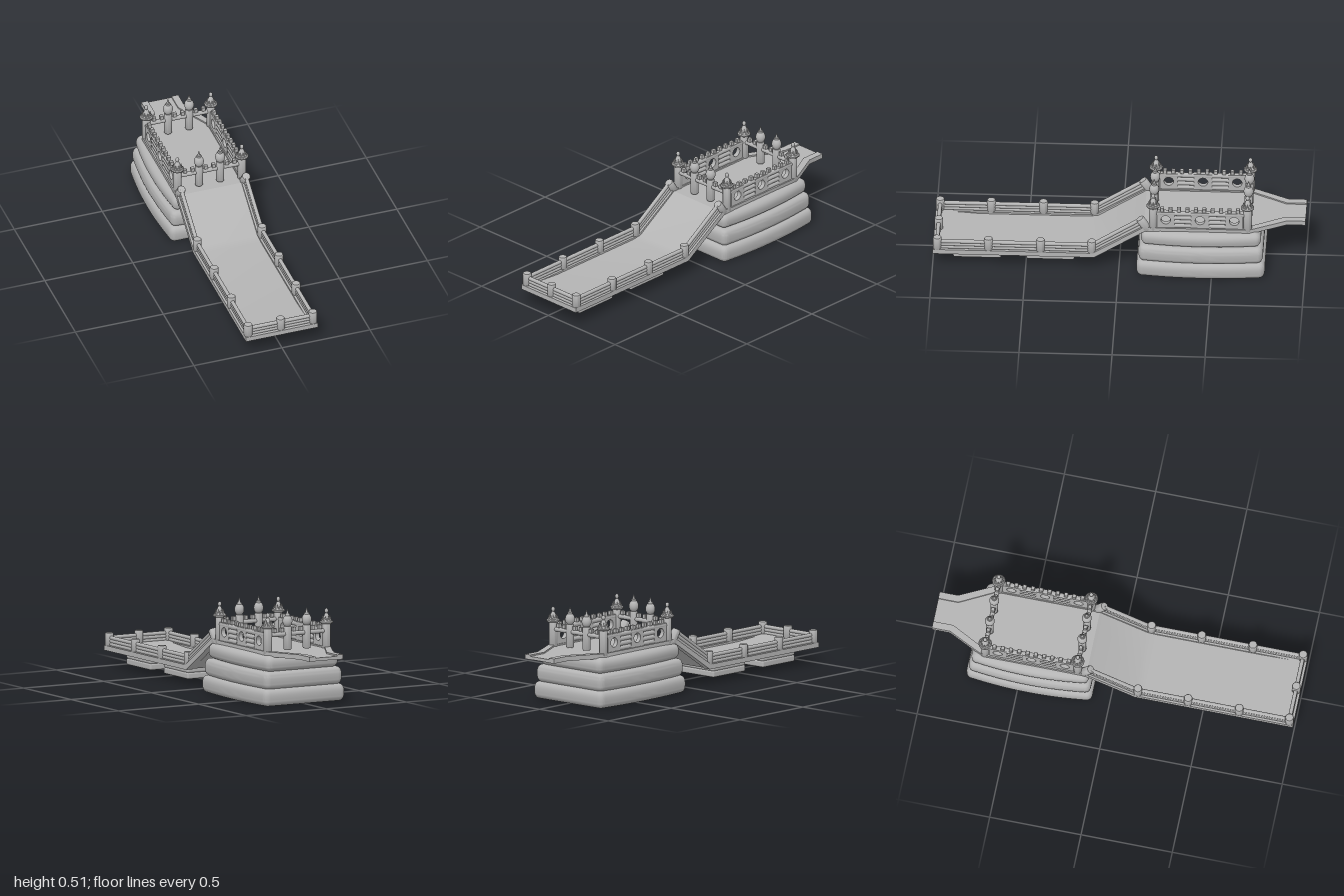
import * as THREE from 'three';
import { toCreasedNormals } from 'three/addons/utils/BufferGeometryUtils.js';
import { RoundedBoxGeometry } from 'three/addons/geometries/RoundedBoxGeometry.js';

const vinyl = new THREE.MeshStandardMaterial({ color: 0xb4b4b4 });
vinyl.name = 'grey vinyl';

const V = (x, y, z) => new THREE.Vector3(x, y, z);

function add(parent, name, geometry, x = 0, y = 0, z = 0) {
  const mesh = new THREE.Mesh(geometry, vinyl);
  mesh.name = name;
  mesh.position.set(x, y, z);
  parent.add(mesh);
  return mesh;
}

const poly = pts => new THREE.Shape(pts.map(p => new THREE.Vector2(...p)));

const lathe = (pts, segments = 20) => toCreasedNormals(
  new THREE.LatheGeometry(pts.map(p => new THREE.Vector2(...p)), segments), 0.7);

// Plan outline (x, -z) extruded upwards
function plan(shape, depth, options = {}) {
  const g = new THREE.ExtrudeGeometry(shape, { depth, bevelEnabled: false, ...options });
  return toCreasedNormals(g.rotateX(-Math.PI / 2), 0.6);
}

// Side outline (z, y) extruded across x and centred
function profile(shape, width) {
  const g = new THREE.ExtrudeGeometry(shape, { depth: width, bevelEnabled: false, curveSegments: 20 });
  return toCreasedNormals(g.rotateY(-Math.PI / 2).translate(width / 2, 0, 0), 0.5);
}

// Round tube between two points
function bar(parent, name, a, b, r) {
  const mid = a.clone().add(b).multiplyScalar(0.5);
  const mesh = add(parent, name, new THREE.CylinderGeometry(r, r, a.distanceTo(b), 14), mid.x, mid.y, mid.z);
  mesh.quaternion.setFromUnitVectors(V(0, 1, 0), b.clone().sub(a).normalize());
  return mesh;
}

// Inflated post with softened ends, standing on its origin
const post = (r, h) => lathe([[0, 0], [r * 0.88, 0], [r, 0.005], [r, h - 0.006], [r * 0.88, h - 0.001], [0, h]]);

// Stacked, bulging base cushions
function buildBase(root) {
  const tiers = [
    // x at ends, x bulge, front, back, y, height, bevel size
    [0.252, 0.290, 0.096, 0.786, 0, 0.092, 0.026],
    [0.242, 0.280, 0.107, 0.776, 0.090, 0.094, 0.026],
    [0.226, 0.264, 0.120, 0.764, 0.181, 0.088, 0.04],
  ];
  tiers.forEach(([w, bulge, f, b, y, h, s], i) => {
    const c = 0.04, m = (f + b) / 2, shape = new THREE.Shape();
    shape.moveTo(-w + c, f).lineTo(w - c, f);
    shape.quadraticCurveTo(w, f, w, f + c);
    shape.quadraticCurveTo(bulge, m, w, b - c);
    shape.quadraticCurveTo(w, b, w - c, b);
    shape.lineTo(-w + c, b);
    shape.quadraticCurveTo(-w, b, -w, b - c);
    shape.quadraticCurveTo(-bulge, m, -w, f + c);
    shape.quadraticCurveTo(-w, f, -w + c, f);
    const t = 0.036;
    add(root, 'baseCushion' + (i + 1), plan(shape, h - 2 * t, {
      bevelEnabled: true, bevelThickness: t, bevelSize: s, bevelOffset: -s, bevelSegments: 6, curveSegments: 10,
    }), 0, y + t, 0);
  });
}

// Platform floor with tapering rear tongue and raised edges
function buildDeck(root) {
  add(root, 'deckFloor', plan(poly([[-0.2, 0.14], [0.2, 0.14], [0.2, 0.70], [0.103, 0.9], [0.103, 1],
    [-0.103, 1], [-0.103, 0.9], [-0.2, 0.70]]), 0.017), 0, 0.263, 0);
  for (const s of [1, -1]) {
    const pts = [[0.204, 0.14], [0.204, 0.70], [0.105, 0.9], [0.105, 1], [0.067, 1], [0.067, 0.89], [0.166, 0.70], [0.166, 0.14]];
    add(root, 'deckEdge', plan(poly(pts.map(([x, z]) => [s * x, z])), 0.026), 0, 0.262, 0);
  }
}

// Corner tower with collar, crown of points and finial
function buildTower(root, x, z) {
  const tower = new THREE.Group();
  tower.name = 'cornerTower';
  tower.position.set(x, 0, z);
  root.add(tower);
  add(tower, 'towerShaft', post(0.023, 0.15), 0, 0.27, 0);
  add(tower, 'towerCollar', lathe([[0, 0.412], [0.03, 0.412], [0.0355, 0.416], [0.036, 0.423], [0.031, 0.428], [0, 0.429]]));
  add(tower, 'towerRoof', lathe([[0.024, 0.427], [0.017, 0.446], [0.009, 0.466], [0, 0.473]]));
  for (let i = 0; i < 8; i++) {
    const a = i * Math.PI / 4;
    add(tower, 'crownPoint', new THREE.ConeGeometry(0.0085, 0.03, 6), Math.sin(a) * 0.021, 0.442, Math.cos(a) * 0.021);
  }
  add(tower, 'towerFinial', new THREE.SphereGeometry(0.0105, 16, 12), 0, 0.481, 0).scale.y = 1.25;
}

// Slim column with onion dome and spike
function buildColumn(root, x, z) {
  const column = new THREE.Group();
  column.name = 'domedColumn';
  column.position.set(x, 0, z);
  root.add(column);
  add(column, 'columnShaft', post(0.0215, 0.128), 0, 0.288, 0);
  add(column, 'onionDome', new THREE.SphereGeometry(0.0265, 20, 14), 0, 0.443, 0).scale.y = 1.24;
  add(column, 'domeSpike', lathe([[0, 0.470], [0.013, 0.471], [0.014, 0.476], [0.012, 0.481], [0.008, 0.482], [0.005, 0.494], [0.001, 0.508], [0, 0.508]]));
}

function buildCastle(root) {
  const front = -0.185, back = -0.692;
  const merlon = new RoundedBoxGeometry(0.021, 0.023, 0.021, 2, 0.003);
  for (const z of [front, back]) {
    for (const s of [1, -1]) {
      buildTower(root, s * 0.183, z);
      buildColumn(root, s * 0.06, z);
      for (const x of [0.022, 0.097, 0.14]) add(root, 'merlon', merlon, s * x, 0.397, z);
    }
    bar(root, 'crossBeam', V(-0.17, 0.374, z), V(0.17, 0.374, z), 0.0125);
  }
  // Side walls: stacked tubes with round-windowed panels
  const windows = [-0.253, -0.437, -0.621], half = 0.048;
  for (const s of [1, -1]) {
    const x = s * 0.184;
    for (const z of windows) {
      const panel = poly([[z - half, 0.284], [z + half, 0.284], [z + half, 0.386], [z - half, 0.386]]);
      panel.holes.push(new THREE.Path().absarc(z, 0.337, 0.026, 0, Math.PI * 2, true));
      add(root, 'windowPanel', profile(panel, 0.025), x);
    }
    for (const [a, b] of [[0, 1], [1, 2]])
      for (let i = 0; i < 4; i++) {
        const y = 0.297 + i * 0.0253;
        bar(root, 'wallTube', V(x, y, windows[a] - half), V(x, y, windows[b] + half), 0.0132);
      }
    bar(root, 'wallTopTube', V(x, 0.374, front), V(x, 0.374, back), 0.0135);
    for (let i = 0; i < 10; i++) add(root, 'merlon', merlon, x, 0.397, -0.233 - i * 0.0453);
  }
}

// Slide and landing lane
function buildSlide(root) {
  add(root, 'slideFloor', profile(poly([[0.98, 0.118], [0.76, 0.103], [0.18, 0.103], [0.125, 0.11],
    [-0.135, 0.281], [-0.16, 0.281], [-0.16, 0.262], [-0.13, 0.262], [0.13, 0.09], [0.98, 0.09]]), 0.35));

  const edge = poly([[0.998, 0.086], [0.998, 0.113], [0.141, 0.113], [-0.135, 0.29], [-0.17, 0.29],
    [-0.17, 0.265], [-0.142, 0.265], [0.132, 0.086]]);
  const slope = Math.atan2(0.182, 0.28), n = V(0, Math.cos(slope), Math.sin(slope));
  for (const s of [1, -1]) {
    const x = s * 0.184;
    add(root, 'slideEdge', profile(edge, 0.04), x);
    // Three stacked rails on the flat and up the slope
    for (let i = 0; i < 3; i++) {
      const y = 0.122 + i * 0.0172, h = 0.009 + i * 0.0172;
      bar(root, 'laneRail', V(x, y, 0.98), V(x, y, 0.14), 0.0105);
      const top = V(x, 0.29, -0.138).addScaledVector(n, h);
      bar(root, 'slopeRail', V(x, y, 0.142), top, 0.0105);
    }
    for (const z of [0.975, 0.70, 0.42, 0.145]) add(root, 'lanePost', post(0.0235, 0.072), x, 0.111, z);
    const topPost = add(root, 'slideTopPost', post(0.0235, 0.08), x, 0.268, -0.156);
    topPost.quaternion.setFromUnitVectors(V(0, 1, 0), n);
  }
  // Closed front end
  add(root, 'frontEdge', new THREE.BoxGeometry(0.36, 0.027, 0.04), 0, 0.0995, 0.978);
  for (let i = 0; i < 3; i++)
    bar(root, 'frontRail', V(-0.184, 0.122 + i * 0.0172, 0.975), V(0.184, 0.122 + i * 0.0172, 0.975), 0.0105);
  add(root, 'frontPost', post(0.0235, 0.072), 0, 0.111, 0.975);

  // Double cushions supporting the lane
  for (const z of [0.763, 0.37])
    for (const y of [0.033, 0.067])
      add(root, 'supportCushion', new RoundedBoxGeometry(0.26, 0.036, 0.258, 3, 0.01), 0, y, z);
  for (const z of [0.763, 0.37])
    add(root, 'supportTop', new THREE.BoxGeometry(0.2, 0.014, 0.2), 0, 0.087, z);
}

export function createModel() {
  const root = new THREE.Group();
  root.name = 'inflatableCastleSlide';
  buildBase(root);
  buildDeck(root);
  buildCastle(root);
  buildSlide(root);
  return root;
}
